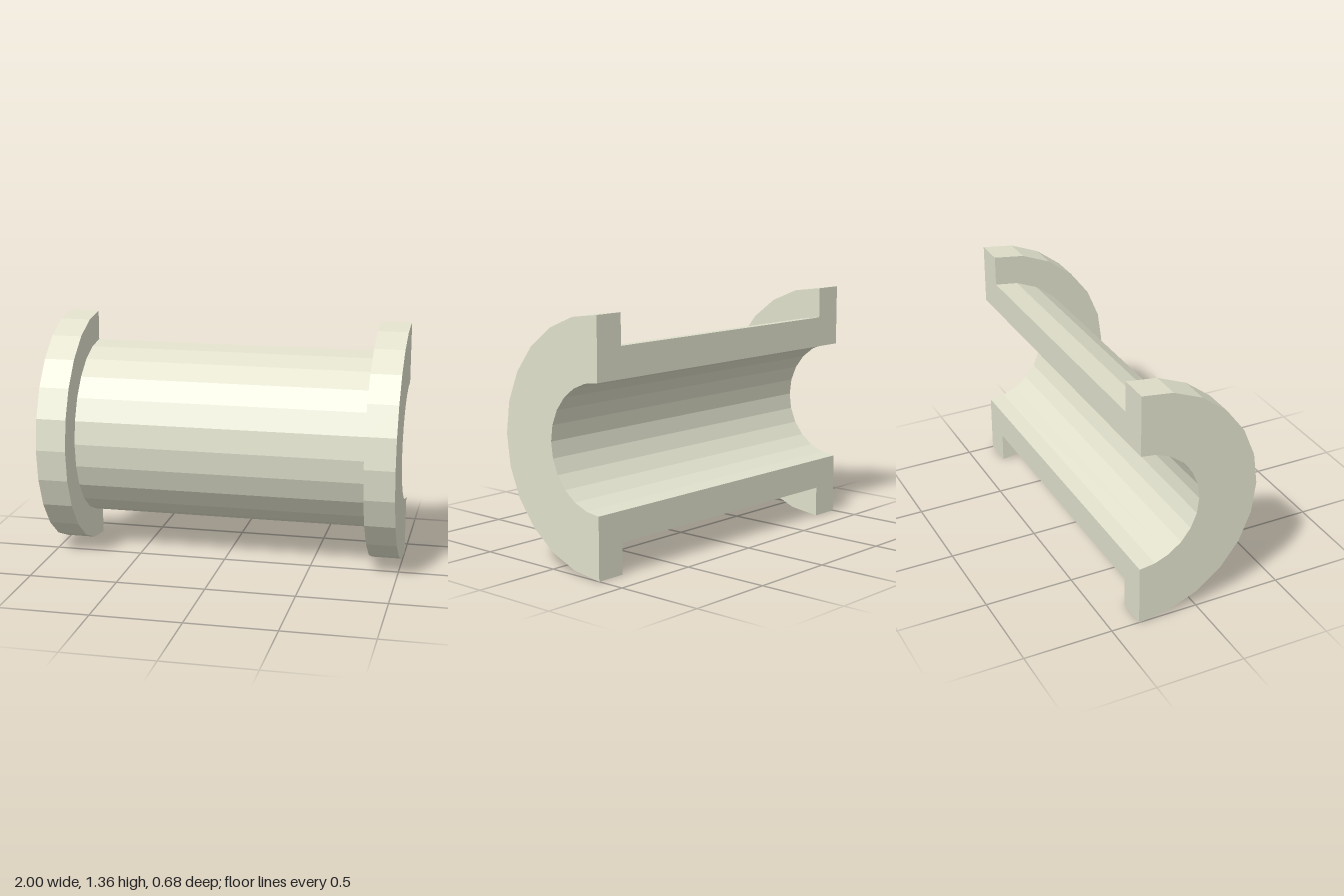
import * as THREE from 'three';

// Half of a flanged bushing, split lengthwise along its axis
export function createModel() {
  const model = new THREE.Group();
  model.name = 'halfBushing';
  const material = new THREE.MeshStandardMaterial({ color: 0xe0e0cc, flatShading: true });

  const bore = 0.34, barrel = 0.51, flange = 0.68; // radii
  const end = 1, shoulder = 0.83;                  // positions along the axis

  // Closed wall section as (radius, axial position)
  const profile = [
    [bore, -end], [flange, -end], [flange, -shoulder], [barrel, -shoulder],
    [barrel, shoulder], [flange, shoulder], [flange, end], [bore, end], [bore, -end],
  ].map(([r, a]) => new THREE.Vector2(r, a));

  const addPart = (name, geometry) => {
    geometry.rotateZ(Math.PI / 2);                 // lay the axis along x
    geometry.translate(0, flange, -flange / 2);
    const mesh = new THREE.Mesh(geometry, material);
    mesh.name = name;
    model.add(mesh);
  };

  // Barrel, flanges and bore, swept through half a turn
  addPart('flangedShell', new THREE.LatheGeometry(profile, 12, -Math.PI / 2, Math.PI));

  // Flat faces where the bushing is split, facing the back
  for (const side of [-1, 1]) {
    const section = profile.slice(0, -1).map(p => new THREE.Vector2(p.x * side, p.y));
    const face = new THREE.ShapeGeometry(new THREE.Shape(section)).rotateY(Math.PI);
    addPart(side < 0 ? 'upperSplitFace' : 'lowerSplitFace', face);
  }
  return model;
}
